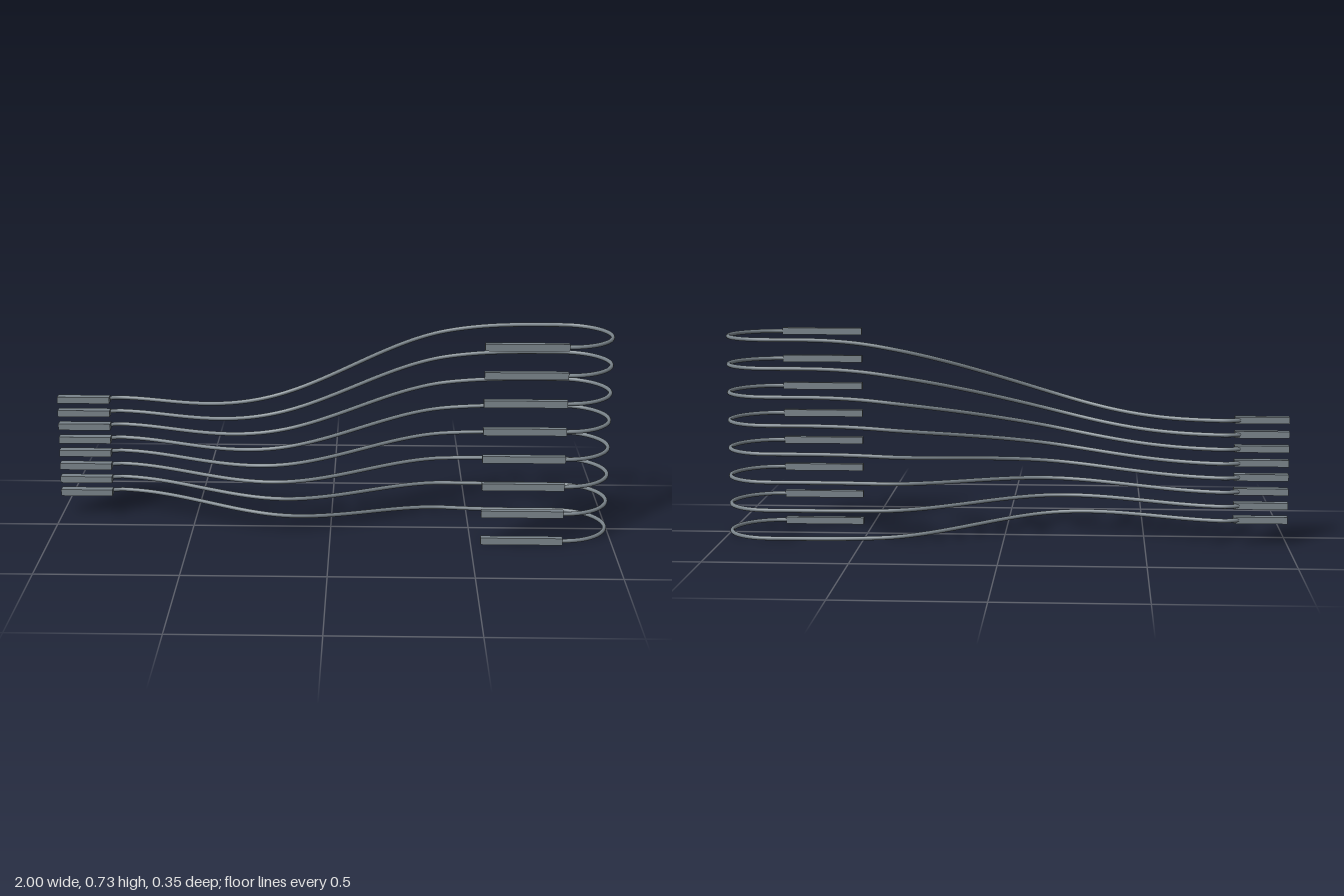
import * as THREE from 'three';

const COUNT = 8;
const WIRE_RADIUS = 0.0075;
const BEND = 0.167;     // radius of the U-turn
const BACK_Z = -0.169;  // depth of the straight run behind

const steel = new THREE.MeshStandardMaterial({ color: 0x7a848b });
steel.name = 'steel grey';

const { lerp, smoothstep, smootherstep } = THREE.MathUtils;

// Plan-view depth of the wavy stretch; crest is how far it swings forward
function waveZ(x, crest) {
  return x < -0.18
    ? lerp(-0.145, crest, smoothstep(x, -0.8, -0.18))
    : lerp(crest, BACK_Z, smoothstep(x, -0.18, 0.43));
}

function wirePath(yLeft, yRight) {
  const rise = yRight - yLeft;
  const crest = 0.08 - 0.5 * rise * rise; // steeper wires swing less
  const points = [
    new THREE.Vector3(-0.835, yLeft, -0.122),
    new THREE.Vector3(-0.812, yLeft, -0.136),
  ];
  // Wave that fans out from the close pitch to the wide pitch
  for (let i = 0; i <= 32; i++) {
    const x = lerp(-0.78, 0.78, i / 32);
    points.push(new THREE.Vector3(x, yLeft + rise * smootherstep(x, -0.7, 0.76), waveZ(x, crest)));
  }
  // Half-circle turn back to the front
  for (let i = 0; i <= 12; i++) {
    const a = -Math.PI / 2 + (i / 12) * Math.PI;
    points.push(new THREE.Vector3(
      0.825 + BEND * Math.cos(a), yRight, BACK_Z + BEND * (1 + Math.sin(a))));
  }
  points.push(new THREE.Vector3(0.79, yRight, BACK_Z + 2 * BEND));
  return new THREE.CatmullRomCurve3(points, false, 'centripetal');
}

function bar(name, w, h, d, x, y, z) {
  const mesh = new THREE.Mesh(new THREE.BoxGeometry(w, h, d), steel);
  mesh.name = name;
  mesh.position.set(x, y, z);
  return mesh;
}

export function createModel() {
  const model = new THREE.Group();
  model.name = 'wireHarness';
  for (let i = 0; i < COUNT; i++) {
    const yLeft = 0.088 + i * 0.0507;
    const yRight = 0.0125 + i * 0.101;
    const strand = new THREE.Group();
    strand.name = `strand${i + 1}`;

    const wire = new THREE.Mesh(
      new THREE.TubeGeometry(wirePath(yLeft, yRight), 150, WIRE_RADIUS, 12, false), steel);
    wire.name = 'wire';

    strand.add(
      wire,
      bar('closePitchTerminal', 0.19, 0.024, 0.035, -0.905, yLeft, -0.116),
      bar('widePitchTerminal', 0.29, 0.025, 0.025, 0.68, yRight, 0.165),
    );
    model.add(strand);
  }
  return model;
}
